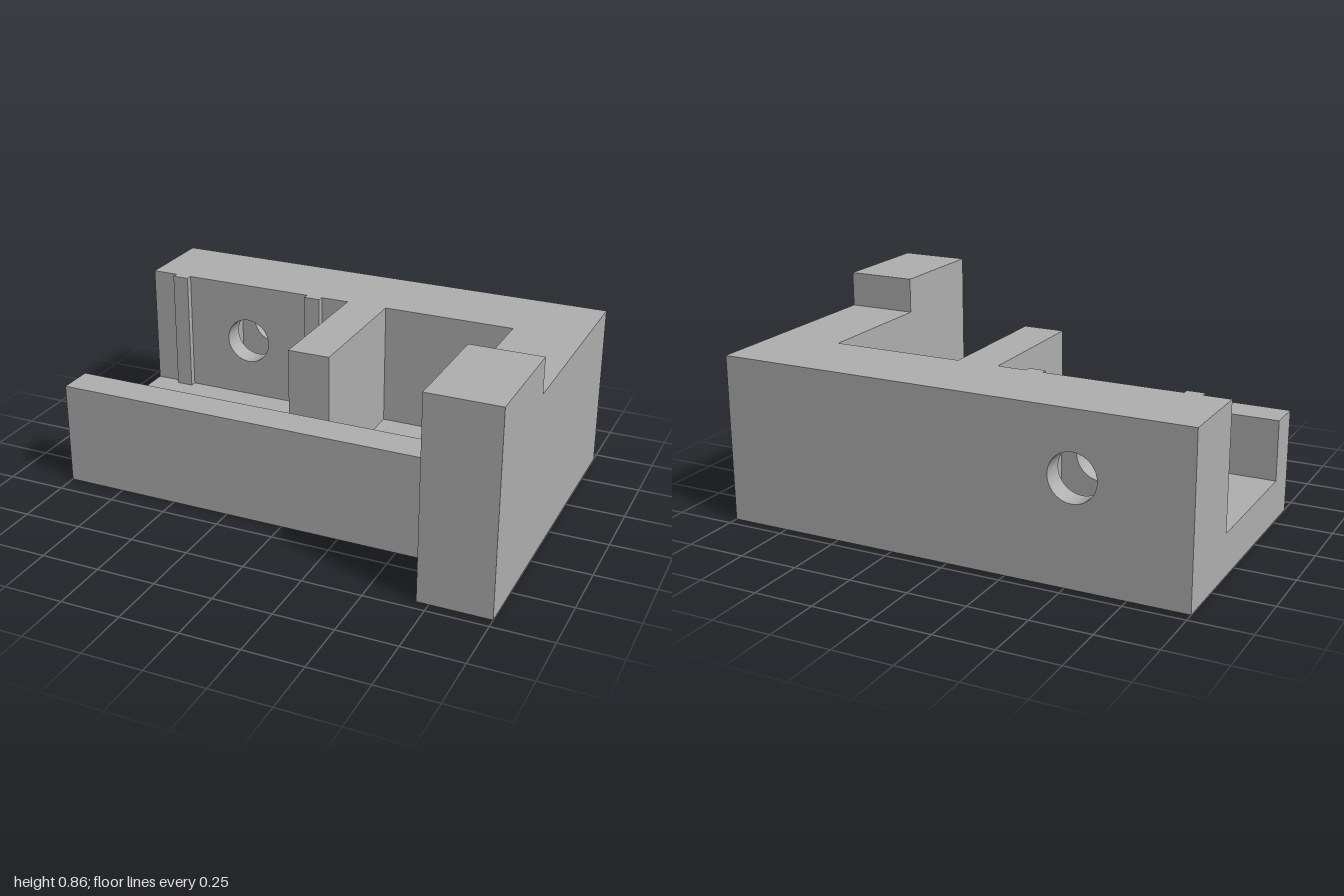
import * as THREE from 'three';
import { toCreasedNormals } from 'three/addons/utils/BufferGeometryUtils.js';

export function createModel() {
  const model = new THREE.Group();
  model.name = 'clampBody';
  const grey = new THREE.MeshStandardMaterial({ color: 0xb0b0b0 });
  grey.name = 'plain grey';

  const add = (name, geometry) => {
    const mesh = new THREE.Mesh(geometry, grey);
    mesh.name = name;
    model.add(mesh);
  };
  const outline = (points) => new THREE.Shape(points.map(([x, y]) => new THREE.Vector2(x, y)));
  const extrude = (shape, depth) =>
    toCreasedNormals(new THREE.ExtrudeGeometry(shape, { depth, bevelEnabled: false, curveSegments: 32 }), 0.6);

  // Box given by its limits on each axis
  const block = (name, x0, x1, y0, y1, z0, z1) =>
    add(name, new THREE.BoxGeometry(x1 - x0, y1 - y0, z1 - z0)
      .translate((x0 + x1) / 2, (y0 + y1) / 2, (z0 + z1) / 2));

  // Side profile of [z, y] points, extruded along x
  const sideProfile = (name, points, x0, x1) =>
    add(name, extrude(outline(points.map(([z, y]) => [-z, y])), x1 - x0)
      .rotateY(Math.PI / 2).translate(x0, 0, 0));

  const TOP = 0.705, FLOOR = 0.18, BACK = -0.705, INNER = -0.35;
  const HOLE_X = -0.527, HOLE_Y = 0.44, HOLE_R = 0.1;
  const POCKET = { half: 0.163, top: 0.61, z0: -0.61, z1: -0.447 };

  // Back wall: two drilled layers around a layer with a nut pocket open below
  const drilledLayer = (name, z0, z1) => {
    const shape = outline([[-1, 0], [1, 0], [1, TOP], [-1, TOP]]);
    shape.holes.push(new THREE.Path().absarc(HOLE_X, HOLE_Y, HOLE_R, 0, Math.PI * 2, true));
    add(name, extrude(shape, z1 - z0).translate(0, 0, z0));
  };
  drilledLayer('backWallOuter', BACK, POCKET.z0);
  drilledLayer('backWallInner', POCKET.z1, INNER);
  const left = HOLE_X - POCKET.half, right = HOLE_X + POCKET.half;
  add('backWallNutPocket', extrude(outline([
    [-1, 0], [left, 0], [left, POCKET.top], [right, POCKET.top], [right, 0],
    [1, 0], [1, TOP], [-1, TOP],
  ]), POCKET.z1 - POCKET.z0).translate(0, 0, POCKET.z0));

  // Channel floor with the low front wall
  sideProfile('floorAndFrontWall',
    [[INNER, 0], [0.41, 0], [0.41, 0.44], [0.26, 0.44], [0.26, FLOOR], [INNER, FLOOR]], -1, 0.7);

  // Stepped end arm, reaching past the front wall
  sideProfile('endArm',
    [[INNER, 0], [0.705, 0], [0.705, 0.855], [0.227, 0.855], [0.227, TOP], [INNER, TOP]], 0.7, 1);

  // Dividing rib, stopping just short of the front wall
  block('dividerRib', -0.042, 0.135, FLOOR, TOP, INNER, 0.24);

  // Small guide ridges on the back wall
  for (const x of [-0.85, -0.2]) {
    block('guideRidge', x - 0.036, x + 0.036, FLOOR, TOP, INNER, -0.322);
  }
  return model;
}
